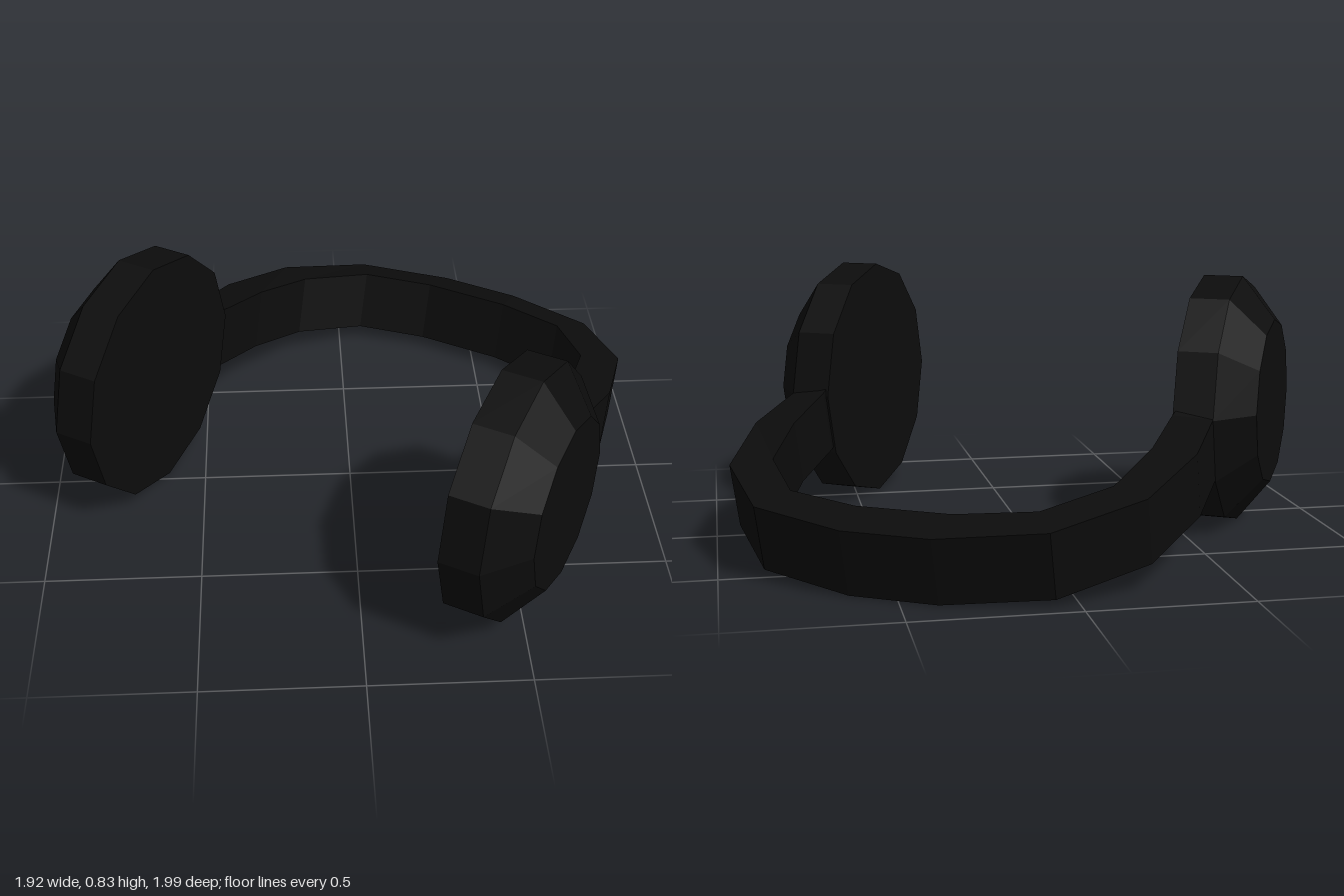
import * as THREE from 'three';

const black = new THREE.MeshStandardMaterial({ color: 0x0c0c0c, flatShading: true });
black.name = 'matteBlack';

// One ear cup: flat inner pad face, straight rim, bevelled outer shell
function makeCup(name, side) {
  const profile = [[0, 0], [0.413, 0], [0.413, 0.13], [0.274, 0.24], [0, 0.24]]
    .map(([r, h]) => new THREE.Vector2(r, h));
  const cup = new THREE.Mesh(new THREE.LatheGeometry(profile, 12), black);
  cup.name = name;
  cup.rotation.z = -side * Math.PI / 2;
  cup.position.set(side * 0.598, 0.415, 0);
  return cup;
}

// Headband: a four-cornered section swept round the back, tilted downwards
function makeHeadband() {
  // half of the band, from cup to crown:
  // outer top edge (u, v, y), then inner bottom edge (u, v, y); v runs to the back
  const half = [
    [0.715, 0.33, 0.44, 0.612, 0.30, 0.25],
    [0.728, 0.41, 0.42, 0.603, 0.38, 0.225],
    [0.737, 0.663, 0.363, 0.598, 0.608, 0.165],
    [0.667, 0.967, 0.29, 0.549, 0.85, 0.10],
    [0.455, 1.207, 0.232, 0.388, 1.047, 0.058],
    [0.139, 1.296, 0.21, 0.15, 1.108, 0.045],
  ];
  const sections = [
    ...half.map((s) => [-1, s]),
    ...half.slice().reverse().map((s) => [1, s]),
  ];
  const lean = 0.055, height = 0.205;
  const pos = [], index = [];
  for (const [side, [uo, vo, yo, ui, vi, yi]] of sections) {
    pos.push(
      side * uo, yo, -vo,                    // outer top
      side * ui, yi + height, -(vi + lean),  // inner top
      side * ui, yi, -vi,                    // inner bottom
      side * uo, yo - height, -(vo - lean),  // outer bottom
    );
  }
  for (let i = 0; i < sections.length - 1; i++) {
    for (let j = 0; j < 4; j++) {
      const a = i * 4 + j, b = i * 4 + (j + 1) % 4;
      index.push(a, b, a + 4, b, b + 4, a + 4);
    }
  }
  // end faces, hidden inside the cups
  const e = (sections.length - 1) * 4;
  index.push(0, 2, 1, 0, 3, 2, e, e + 1, e + 2, e, e + 2, e + 3);

  const geo = new THREE.BufferGeometry();
  geo.setAttribute('position', new THREE.Float32BufferAttribute(pos, 3));
  geo.setIndex(index);
  geo.computeVertexNormals();
  const band = new THREE.Mesh(geo, black);
  band.name = 'headband';
  return band;
}

export function createModel() {
  const model = new THREE.Group();
  model.name = 'headphones';

  // the headphones lie turned by 30 degrees
  const body = new THREE.Group();
  body.name = 'headphoneBody';
  body.rotation.y = -Math.PI / 6;
  body.position.set(-0.107, 0, 0.267);
  body.add(makeCup('rightEarCup', -1), makeCup('leftEarCup', 1), makeHeadband());

  model.add(body);
  return model;
}
